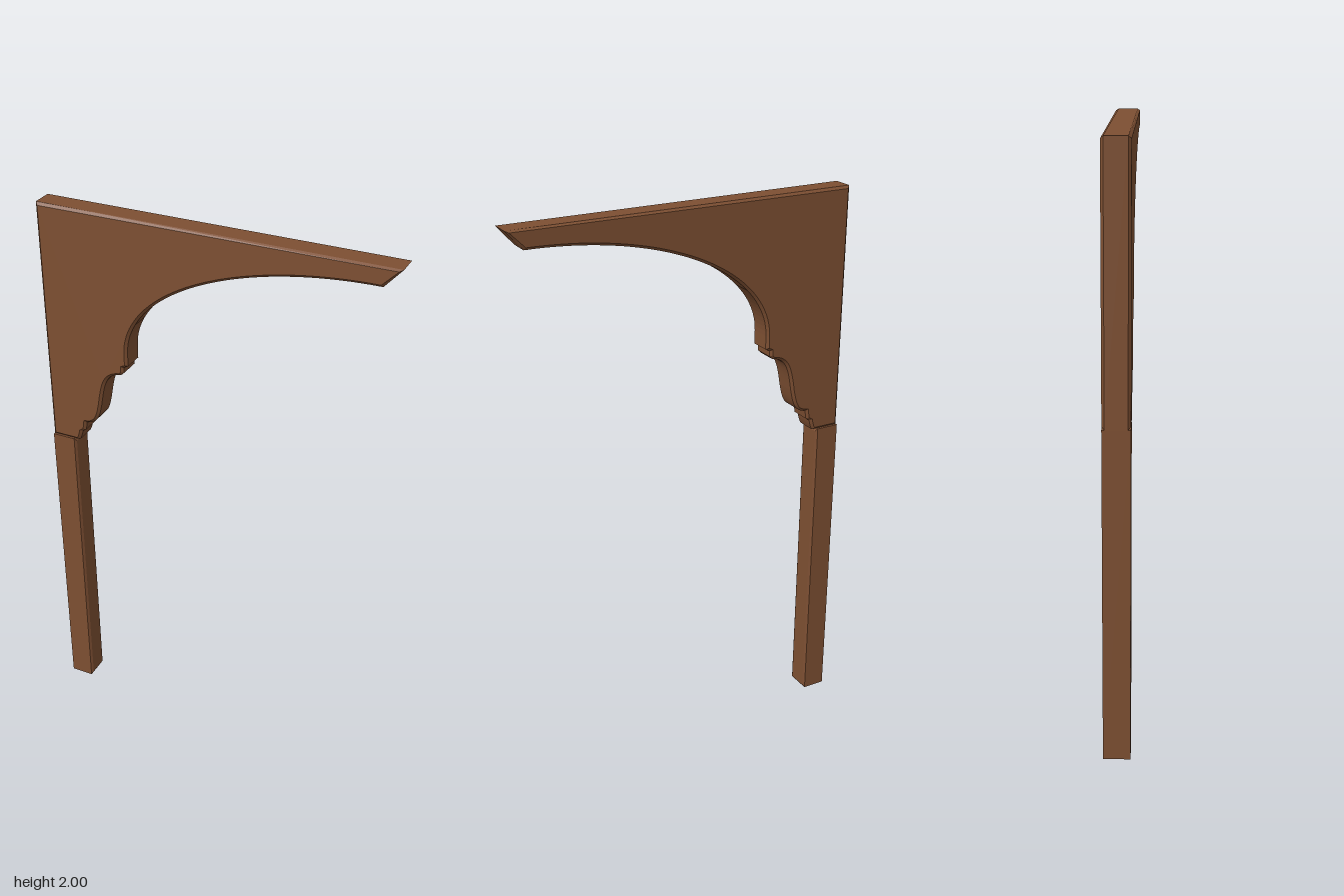
import * as THREE from 'three';

const HALF = 0.045;   // half thickness along z
const BEVEL = 0.009;  // small chamfer on the edges

// Carved bracket: straight back and top, moulded inner edge
function bracketGeometry() {
  const s = new THREE.Shape();
  s.moveTo(-0.62, 1.13);
  s.lineTo(-0.515, 1.13);
  // lower stepped moulding
  s.quadraticCurveTo(-0.505, 1.15, -0.502, 1.168);
  s.lineTo(-0.487, 1.178);
  s.lineTo(-0.482, 1.21);
  // S-shaped moulding
  s.bezierCurveTo(-0.435, 1.215, -0.428, 1.25, -0.417, 1.3);
  s.bezierCurveTo(-0.403, 1.38, -0.395, 1.425, -0.335, 1.432);
  // upper step
  s.lineTo(-0.322, 1.444);
  s.lineTo(-0.322, 1.464);
  s.lineTo(-0.306, 1.472);
  s.lineTo(-0.306, 1.52);
  // long elliptical sweep
  s.absellipse(0.56, 1.52, 0.866, 0.415, Math.PI, Math.PI / 2, true);
  // slanted end
  s.lineTo(0.618, 2);
  s.lineTo(-0.62, 2);
  s.closePath();
  const g = new THREE.ExtrudeGeometry(s, {
    depth: 2 * (HALF - BEVEL), curveSegments: 20,
    bevelEnabled: true, bevelSegments: 1,
    bevelThickness: BEVEL, bevelSize: BEVEL, bevelOffset: -BEVEL,
  });
  return g.translate(0, 0, -(HALF - BEVEL));
}

// Post: a box whose inner (+x) face is inset by a chamfer
function postGeometry() {
  const h = 1.13, w = 0.09;
  const g = new THREE.BoxGeometry(w, h, 2 * HALF, 2, 1, 1);
  const p = g.attributes.position;
  for (let i = 0; i < p.count; i++) {
    const x = p.getX(i);
    if (Math.abs(x) < 1e-4) p.setX(i, w / 2 - 0.006);
    else if (x > 0) {
      p.setY(i, p.getY(i) - Math.sign(p.getY(i)) * 0.011);
      p.setZ(i, p.getZ(i) - Math.sign(p.getZ(i)) * 0.009);
    }
  }
  const flat = g.toNonIndexed();
  flat.computeVertexNormals();
  return flat.translate(-0.62 + w / 2, h / 2, 0);
}

export function createModel() {
  const wood = new THREE.MeshStandardMaterial({ color: 0x7d4f32 });
  const group = new THREE.Group();
  group.name = 'porchBracket';
  const add = (name, geometry) => {
    const mesh = new THREE.Mesh(geometry, wood);
    mesh.name = name;
    group.add(mesh);
  };
  add('bracket', bracketGeometry());
  add('post', postGeometry());
  return group;
}
